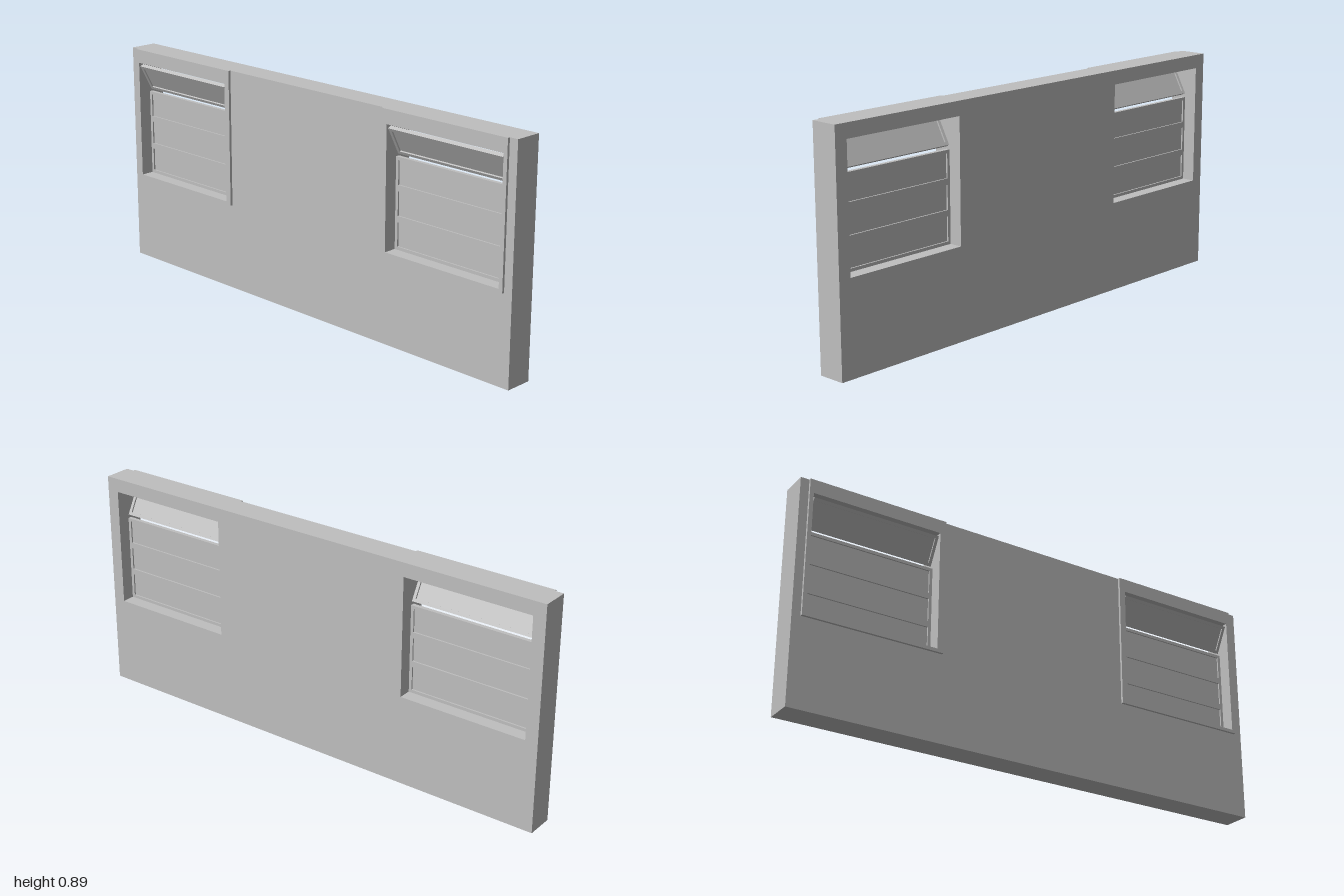
import * as THREE from 'three';

const concrete = new THREE.MeshStandardMaterial({ color: 0xbfbfbf });
concrete.name = 'light grey';

// Window opening, given for the +x side and mirrored for the other
const OPEN = { x0: 0.427, x1: 0.95, y0: 0.36, y1: 0.835 };
const ROW = 0.116;

function rectPoints(x0, y0, x1, y1) {
  return [[x0, y0], [x1, y0], [x1, y1], [x0, y1]].map(([x, y]) => new THREE.Vector2(x, y));
}

// Flat plate with rectangular holes, spanning z0 to z1
function plate(name, outer, holes, z0, z1) {
  const shape = new THREE.Shape(rectPoints(...outer));
  for (const h of holes) shape.holes.push(new THREE.Path(rectPoints(...h).reverse()));
  const geo = new THREE.ExtrudeGeometry(shape, { depth: z1 - z0, bevelEnabled: false });
  geo.translate(0, 0, z0);
  const mesh = new THREE.Mesh(geo, concrete);
  mesh.name = name;
  return mesh;
}

// Framed sash with a recessed pane; origin at the middle of its bottom edge
function makeSash(name, width) {
  const sash = new THREE.Group();
  sash.name = name;
  const w = width / 2;
  const b = 0.012;
  sash.add(plate('sashFrame', [-w, 0, w, ROW], [[-w + b, b, w - b, ROW - b]], -0.008, 0.008));
  const pane = new THREE.Mesh(new THREE.BoxGeometry(width - 2 * b, ROW - 2 * b, 0.004), concrete);
  pane.name = 'pane';
  pane.position.y = ROW / 2;
  sash.add(pane);
  return sash;
}

export function createModel() {
  const model = new THREE.Group();
  model.name = 'wallWithWindows';

  // Wall slab with both openings
  const holes = [1, -1].map((s) => {
    const xs = [s * OPEN.x0, s * OPEN.x1].sort((a, b) => a - b);
    return [xs[0], OPEN.y0, xs[1], OPEN.y1];
  });
  model.add(plate('wall', [-1, 0, 1, 0.89], holes, -0.06, 0.05));

  const mid = (OPEN.x0 + OPEN.x1) / 2;
  const width = OPEN.x1 - OPEN.x0;
  for (const [side, s] of [['left', 1], ['right', -1]]) {
    const win = new THREE.Group();
    win.name = side + 'Window';
    const hole = holes[s > 0 ? 0 : 1];

    // Raised surround on the front face
    const outer = s > 0 ? [0.402, 0.347, 0.966, 0.89] : [-0.966, 0.347, -0.402, 0.89];
    win.add(plate('surround', outer, [hole], 0.05, 0.06));

    // Three closed sashes
    for (let i = 0; i < 3; i++) {
      const sash = makeSash('fixedSash' + (i + 1), width);
      sash.position.set(s * mid, OPEN.y0 + i * ROW, 0);
      win.add(sash);
    }

    // Top sash, hinged at the bottom and tipped forward
    const vent = makeSash('tiltedSash', width - 0.01);
    vent.position.set(s * mid, 0.722, -0.004);
    vent.rotation.x = 0.49;
    win.add(vent);
    model.add(win);
  }
  return model;
}
